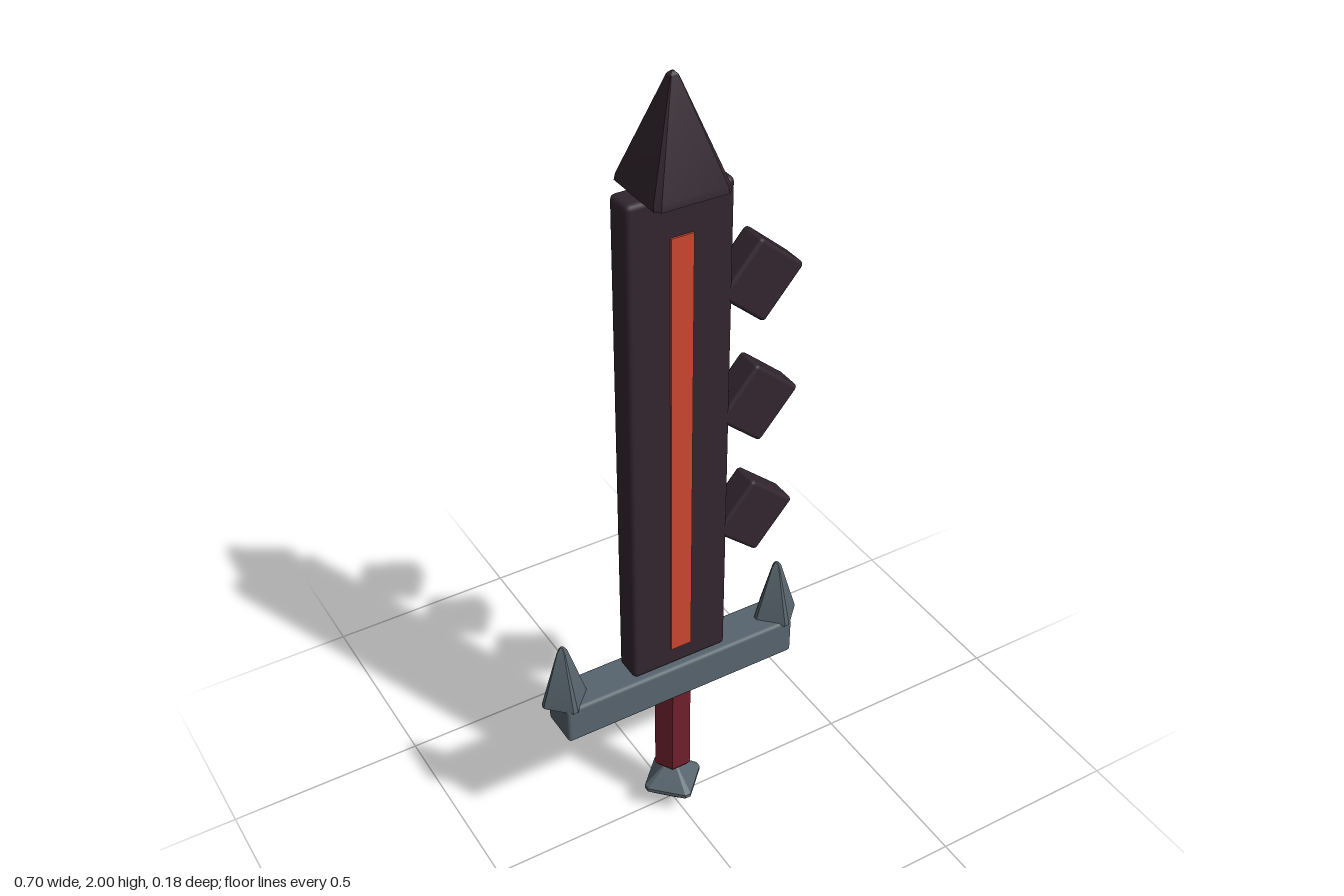
import * as THREE from 'three';
import { RoundedBoxGeometry } from 'three/addons/geometries/RoundedBoxGeometry.js';
import { toCreasedNormals } from 'three/addons/utils/BufferGeometryUtils.js';

function material(name, color) {
  const m = new THREE.MeshStandardMaterial({ color });
  m.name = name;
  return m;
}

// Square-section solid with chamfered corners, lofted through [halfWidth, y] rings and capped.
// Corners point along x and z; turn by 45 degrees for sides along the axes.
function chamferedLoft(rings, turn = 0, chamfer = 0.1) {
  const positions = [], index = [];
  for (const [r, y] of rings) {
    for (let i = 0; i < 8; i++) {
      const a = Math.floor(i / 2) * Math.PI / 2 + turn;
      const side = i % 2 ? chamfer : -chamfer;
      const out = r, across = r * side;
      positions.push(out * Math.cos(a) - across * Math.sin(a), y, out * Math.sin(a) + across * Math.cos(a));
    }
  }
  for (let k = 0; k < rings.length - 1; k++) {
    for (let i = 0; i < 8; i++) {
      const a = k * 8 + i, b = k * 8 + (i + 1) % 8;
      index.push(a, a + 8, b, b, a + 8, b + 8);
    }
  }
  const top = (rings.length - 1) * 8;
  for (let i = 1; i < 7; i++) {
    index.push(0, i, i + 1, top, top + i + 1, top + i);
  }
  const g = new THREE.BufferGeometry();
  g.setAttribute('position', new THREE.Float32BufferAttribute(positions, 3));
  g.setIndex(index);
  return toCreasedNormals(g, 0.3);
}

export function createModel() {
  const sword = new THREE.Group();
  sword.name = 'sword';
  const darkMetal = material('dark metal', 0x33262f);
  const ember = material('ember red', 0xcc4630);
  const steel = material('grey steel', 0x58656e);
  const leather = material('red leather', 0x70202c);

  function add(name, geometry, mat, x, y, z = 0) {
    const mesh = new THREE.Mesh(geometry, mat);
    mesh.name = name;
    mesh.position.set(x, y, z);
    sword.add(mesh);
    return mesh;
  }

  // Blade with a glowing inlay on both faces
  add('blade', new RoundedBoxGeometry(0.252, 1.256, 0.072, 2, 0.012), darkMetal, 0, 1.132);
  for (const [name, z] of [['frontInlay', 0.0375], ['backInlay', -0.0355]]) {
    add(name, new THREE.BoxGeometry(0.054, 1.108, 0.006), ember, 0, 1.111, z);
  }

  // Pyramid point, wider than the blade is thick
  const tip = chamferedLoft([[0.118, 1.76], [0.115, 1.775], [0.012, 1.994], [0.004, 2]], Math.PI / 4, 0.07);
  add('bladeTip', tip, darkMetal, 0, 0);

  // Teeth along one edge
  const tooth = new RoundedBoxGeometry(0.146, 0.152, 0.072, 2, 0.01);
  [0.865, 1.182, 1.496].forEach((y, i) => {
    add('tooth' + (i + 1), tooth, darkMetal, 0.202, y).rotation.z = -0.71;
  });

  // Crossguard with an upright spike at each end
  add('guard', new RoundedBoxGeometry(0.626, 0.101, 0.103, 2, 0.009), steel, 0, 0.453);
  const spike = chamferedLoft([[0.057, 0.497], [0.056, 0.505], [0.013, 0.648], [0.004, 0.661]]);
  for (const [name, x] of [['leftSpike', 0.294], ['rightSpike', -0.295]]) {
    add(name, spike, steel, x, 0);
  }

  // Six-sided grip with softened ends
  const gripProfile = [[0, 0.136], [0.04, 0.136], [0.05, 0.15], [0.05, 0.41], [0, 0.41]];
  const grip = new THREE.LatheGeometry(gripProfile.map(([r, y]) => new THREE.Vector2(r, y)), 6, Math.PI / 2);
  add('grip', toCreasedNormals(grip, 0.3), leather, 0, 0);

  // Faceted pommel
  const pommel = chamferedLoft([[0.006, 0], [0.014, 0.006], [0.077, 0.063], [0.077, 0.073], [0.014, 0.133], [0.006, 0.14]]);
  add('pommel', pommel, steel, 0, 0);

  return sword;
}
